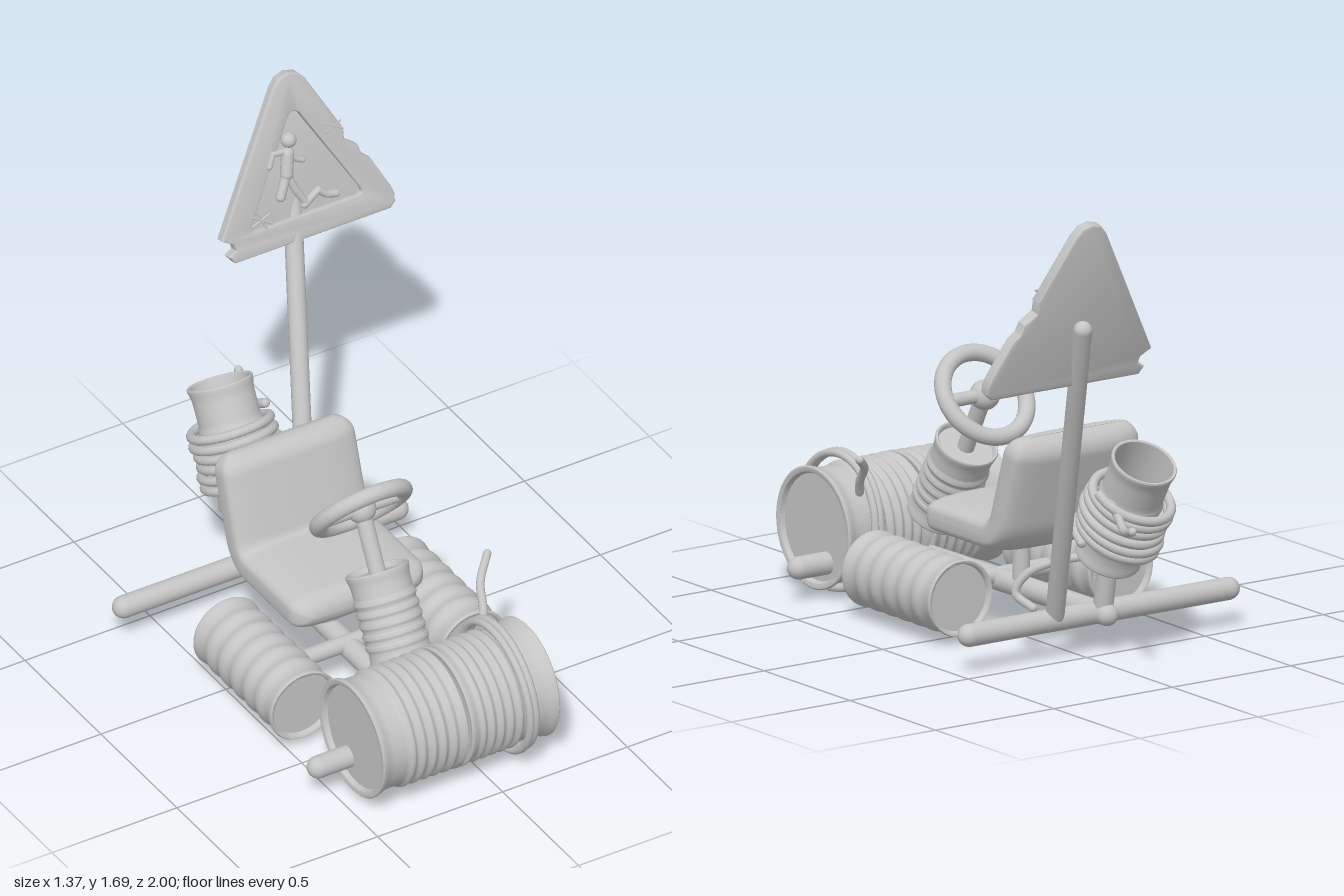
import * as THREE from 'three';
import { toCreasedNormals } from 'three/addons/utils/BufferGeometryUtils.js';
import { ParametricGeometry } from 'three/addons/geometries/ParametricGeometry.js';

const V = (x, y, z) => new THREE.Vector3(x, y, z);
const UP = V(0, 1, 0);
const CX = -0.1; // centre line of the cart

export function createModel() {
  const grey = new THREE.MeshStandardMaterial({ color: 0xc4c4c4, side: THREE.DoubleSide });
  grey.name = 'plain grey';
  const root = new THREE.Group();
  root.name = 'scrapKart';

  function add(name, geometry, parent = root) {
    const mesh = new THREE.Mesh(geometry, grey);
    mesh.name = name;
    parent.add(mesh);
    return mesh;
  }

  function group(name) {
    const g = new THREE.Group();
    g.name = name;
    root.add(g);
    return g;
  }

  // Place a y-axis part so that it spans from a to b
  function span(object, a, b) {
    object.position.copy(a).add(b).multiplyScalar(0.5);
    object.quaternion.setFromUnitVectors(UP, b.clone().sub(a).normalize());
  }

  // Round-ended bar whose tips lie at a and b
  function rod(name, a, b, r, parent = root) {
    const len = Math.max(a.distanceTo(b) - 2 * r, 0.001);
    span(add(name, new THREE.CapsuleGeometry(r, len, 8, 20), parent), a, b);
  }

  function rope(name, points, r, parent = root) {
    const curve = new THREE.CatmullRomCurve3(points);
    add(name, new THREE.TubeGeometry(curve, points.length * 6, r, 10), parent);
    for (const p of [points[0], points[points.length - 1]]) {
      add(name + 'End', new THREE.SphereGeometry(r, 10, 8), parent).position.copy(p);
    }
  }

  // Slightly wobbly coil around the y axis
  function coil(radius, y0, y1, turns, tilt) {
    const points = [];
    for (let i = 0; i <= turns * 16; i++) {
      const a = (i / 16) * Math.PI * 2;
      const r = radius + 0.005 * Math.sin(a * 0.73);
      const y = y0 + (y1 - y0) * i / (turns * 16) + tilt * Math.cos(a);
      points.push(V(r * Math.cos(a), y, r * Math.sin(a)));
    }
    return points;
  }

  // Ribbed drum with flared rims; ribs run from u0 to u1 of its length
  function drum(name, a, b, R, { ribs, u0, u1, amp, highCap = 0.02 }) {
    const h = a.distanceTo(b) / 2;
    const pts = [[0, -h + 0.02], [R * 0.87, -h + 0.02], [R * 0.9, -h + 0.003], [R * 0.93, -h], [R * 0.98, -h]];
    for (let i = 0; i <= 90; i++) {
      const u = i / 90;
      const edge = Math.min(u, 1 - u) * 2 * h;
      let r = R * 0.935 + R * 0.065 * Math.exp(-Math.pow(edge / 0.028, 2));
      if (u > u0 && u < u1) r += amp * Math.pow(Math.sin(((u - u0) / (u1 - u0)) * ribs * Math.PI), 2);
      pts.push([r, -h + 0.004 + u * (2 * h - 0.008)]);
    }
    pts.push([R * 0.98, h], [R * 0.93, h], [R * 0.9, h - 0.003], [R * 0.87, h - highCap], [0, h - highCap]);
    const lathe = new THREE.LatheGeometry(pts.map(p => new THREE.Vector2(...p)), 48);
    span(add(name, toCreasedNormals(lathe, 0.7)), a, b);
  }

  // Frame: axles, spine, cross bar and posts
  rod('frontAxle', V(-0.59, 0.14, 0.69), V(0.395, 0.14, 0.69), 0.04);
  rod('rearAxle', V(-0.685, 0.152, -0.435), V(0.49, 0.152, -0.435), 0.04);
  rod('spine', V(CX, 0.14, 0.7), V(CX, 0.152, -0.52), 0.04);
  rod('crossBar', V(-0.38, 0.16, 0.15), V(0.18, 0.16, 0.15), 0.03);
  rod('seatPost', V(CX, 0.14, 0.02), V(CX, 0.4, 0.02), 0.03);
  rod('rearDrumPost', V(CX, 0.13, -0.45), V(CX, 0.42, -0.5), 0.035);

  // Pair of wide drums at the front
  const fy = 0.255, fz = 0.745;
  const wide = { ribs: 5, amp: 0.012 };
  drum('frontDrumRight', V(-0.45, fy, fz), V(-0.107, fy, fz), 0.216, { ...wide, u0: 0.3, u1: 0.92 });
  drum('frontDrumLeft', V(-0.093, fy, fz), V(0.257, fy, fz), 0.216, { ...wide, u0: 0.08, u1: 0.62 });

  // Loose loops of rope on the front drum
  const frontCoil = group('frontRope');
  frontCoil.rotation.z = -Math.PI / 2;
  frontCoil.position.set(0.14, 0.265, 0.75);
  rope('ropeCoil', coil(0.231, -0.026, 0.026, 2, 0.012), 0.014, frontCoil);
  rope('frontRopeTail', [V(0.17, 0.4, 0.59), V(0.19, 0.45, 0.56), V(0.215, 0.51, 0.5), V(0.285, 0.565, 0.43)], 0.015);

  // Drums along both sides
  for (const [name, x] of [['sideDrumRight', -0.435], ['sideDrumLeft', 0.242]]) {
    drum(name, V(x, 0.18, -0.103), V(x, 0.18, 0.412), 0.135, { ribs: 5, u0: 0.1, u1: 0.9, amp: 0.008 });
  }

  // Steering drum, column and wheel
  drum('steeringDrum', V(CX, 0.304, 0.507), V(CX, 0.588, 0.335), 0.113, { ribs: 5, u0: 0.15, u1: 0.75, amp: 0.007 });
  rod('steeringColumn', V(CX, 0.52, 0.37), V(CX, 0.8, 0.225), 0.03);
  const wheel = group('steeringWheel');
  wheel.position.set(CX, 0.779, 0.232);
  wheel.quaternion.setFromUnitVectors(V(0, 0, 1), V(0, 0.62, -0.78).normalize());
  add('wheelRim', new THREE.TorusGeometry(0.162, 0.03, 16, 48), wheel);
  add('wheelHub', new THREE.SphereGeometry(0.053, 24, 16), wheel);
  rod('wheelSpoke', V(-0.17, 0, 0), V(0.17, 0, 0), 0.024, wheel);

  // Padded seat: a rounded section swept along an L-shaped path (z, y)
  const P = (z, y) => new THREE.Vector2(z, y);
  const path = new THREE.CurvePath();
  path.add(new THREE.LineCurve(P(0.25, 0.395), P(-0.1, 0.395)));
  path.add(new THREE.QuadraticBezierCurve(P(-0.1, 0.395), P(-0.175, 0.395), P(-0.2, 0.47)));
  path.add(new THREE.LineCurve(P(-0.2, 0.47), P(-0.295, 0.767)));
  const pathLength = path.getLength();
  const pow = (c, e) => Math.sign(c) * Math.pow(Math.abs(c), e);
  const seat = new ParametricGeometry((u, v, out) => {
    const s = THREE.MathUtils.clamp((1 - Math.cos(v * Math.PI)) / 2, 0, 1); // finer steps at both tips
    const p = path.getPointAt(s);
    const t = path.getTangentAt(s);
    const e = Math.max(0, 1 - Math.min(s, 1 - s) * pathLength / 0.07);
    const round = Math.max(0.01, Math.sqrt(1 - e * e));
    const a = u * Math.PI * 2;
    const x = pow(Math.cos(a), 0.6) * (0.195 - 0.07 * (1 - round)) + 0.07 * pow(Math.cos(a), 0.8);
    const n = 0.07 * round * pow(Math.sin(a), 0.5);
    out.set(CX + 0.003 + x, p.y - t.x * n, p.x + t.y * n);
  }, 64, 100);
  seat.computeVertexNormals();
  add('seat', seat);

  // Rear drum with an open top, and its rope
  const rearLow = V(CX, 0.358, -0.485), rearHigh = V(CX, 0.737, -0.7);
  drum('rearDrum', rearLow, rearHigh, 0.117, { ribs: 4, u0: 0.15, u1: 0.7, amp: 0.006, highCap: 0.3 });
  const rearCoil = group('rearRope');
  span(rearCoil, rearLow, rearHigh);
  rope('rearRopeCoil', coil(0.142, -0.14, 0.08, 6, 0.012), 0.017, rearCoil);
  rope('rearRopeTail', [V(0.0, 0.6, -0.64), V(0.03, 0.56, -0.73), V(0.07, 0.54, -0.82), V(0.11, 0.567, -0.92)], 0.015);
  rope('lowerRopeTail', [V(-0.03, 0.37, -0.48), V(0.06, 0.35, -0.41), V(0.14, 0.3, -0.34), V(0.17, 0.235, -0.32), V(0.14, 0.19, -0.38)], 0.015);

  // Leaning road sign on a pole
  rod('signPole', V(0.085, 0.12, -0.425), V(0.335, 1.345, -0.945), 0.033);
  const sign = group('roadSign');
  sign.position.set(0, 1.105, -0.835);
  sign.rotation.x = -0.24;
  const S = (x, y) => new THREE.Vector2(x, (y - 1.105) * 1.03);

  // Rim outline with a broken corner and a chipped edge
  const outline = [
    [0.04, 1.11], [0.655, 1.11], [0.672, 1.125], [0.675, 1.15], [0.665, 1.18], [0.6, 1.305], [0.57, 1.33],
    [0.56, 1.365], [0.525, 1.39], [0.51, 1.4], [0.512, 1.445], [0.395, 1.663], [0.37, 1.691], [0.335, 1.7],
    [0.3, 1.691], [0.275, 1.663], [0.005, 1.198], [0.045, 1.175], [0.053, 1.145], [0.025, 1.13],
  ].map(p => S(...p));
  const inner = [
    [0.125, 1.185], [0.545, 1.185], [0.562, 1.195], [0.56, 1.215], [0.36, 1.56], [0.335, 1.575], [0.31, 1.56], [0.11, 1.215], [0.11, 1.195],
  ].map(p => S(...p));
  const bevel = { bevelEnabled: true, bevelThickness: 0.007, bevelSize: 0.006, bevelSegments: 3 };
  const rim = new THREE.Shape(outline);
  rim.holes.push(new THREE.Path(inner));
  add('signRim', toCreasedNormals(new THREE.ExtrudeGeometry(rim, { depth: 0.014, ...bevel }), 0.6), sign);
  const plate = new THREE.ExtrudeGeometry(new THREE.Shape(outline), { depth: 0.008, ...bevel });
  add('signBack', toCreasedNormals(plate, 0.6), sign).position.z = -0.014;

  // Raised strokes on the sign: walker, ground zigzag and cracks
  function stroke(name, r, ...points) {
    for (let i = 1; i < points.length; i++) {
      const [a, b] = [points[i - 1], points[i]].map(p => S(...p));
      const cap = b.clone().sub(a).setLength(r);
      a.sub(cap);
      b.add(cap);
      rod(name, V(a.x, a.y, 0.018), V(b.x, b.y, 0.018), r, sign);
    }
  }
  const head = S(0.302, 1.473);
  add('walkerHead', new THREE.SphereGeometry(0.028, 20, 14), sign).position.set(head.x, head.y, 0.02);
  stroke('walkerBody', 0.023, [0.292, 1.425], [0.278, 1.355]);
  stroke('walkerArm', 0.011, [0.285, 1.435], [0.235, 1.44], [0.215, 1.4]);
  stroke('walkerArm', 0.011, [0.295, 1.42], [0.325, 1.395], [0.345, 1.385]);
  stroke('walkerLeg', 0.017, [0.275, 1.35], [0.243, 1.28]);
  stroke('walkerLeg', 0.014, [0.283, 1.345], [0.305, 1.285], [0.335, 1.235]);
  stroke('groundZigzag', 0.014, [0.33, 1.225], [0.39, 1.26], [0.42, 1.235], [0.457, 1.225]);
  stroke('crack', 0.004, [0.445, 1.485], [0.515, 1.445]);
  stroke('crack', 0.004, [0.47, 1.505], [0.5, 1.39]);
  stroke('crack', 0.004, [0.445, 1.45], [0.51, 1.475]);
  stroke('crack', 0.004, [0.115, 1.25], [0.195, 1.2]);
  stroke('crack', 0.004, [0.135, 1.275], [0.18, 1.175]);
  stroke('crack', 0.004, [0.12, 1.21], [0.19, 1.235]);

  return root;
}
